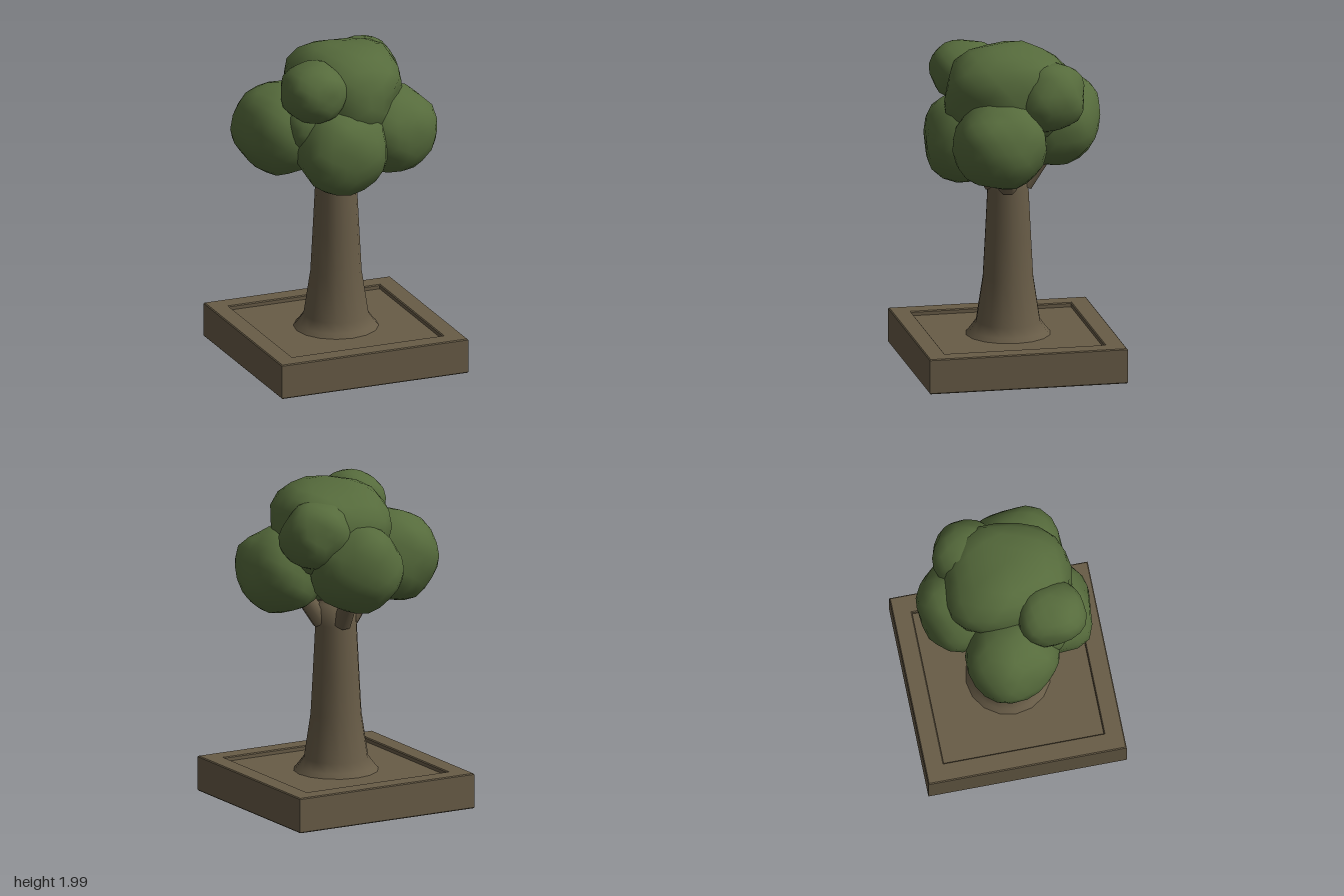
import * as THREE from 'three';
import { mergeVertices } from 'three/addons/utils/BufferGeometryUtils.js';

const CX = 0.014; // planter and trunk axis

// Lumpy clump: an icosphere squared off by a power p, roughened by waves,
// with knobs [x, y, z, height] that pull out (or press in) one side
function clumpGeometry([rx, ry, rz], seed, p, knobs) {
  let geo = new THREE.IcosahedronGeometry(1, 3);
  geo.deleteAttribute('uv');
  geo.deleteAttribute('normal');
  geo = mergeVertices(geo, 1e-4);
  const pos = geo.attributes.position;
  const v = new THREE.Vector3();
  const dir = new THREE.Vector3();
  for (let i = 0; i < pos.count; i++) {
    v.fromBufferAttribute(pos, i);
    const norm = Math.abs(v.x) ** p + Math.abs(v.y) ** p + Math.abs(v.z) ** p;
    const lump =
      Math.sin(v.x * 4.9 + seed * 1.7) * Math.sin(v.y * 4.5 + seed * 2.3) +
      Math.sin(v.z * 5.1 + seed * 3.1) * Math.sin(v.x * 3.9 - v.y * 3.5 + seed);
    let k = norm ** (-1 / p) * (1 + 0.035 * lump);
    for (const [x, y, z, h] of knobs) {
      k += h * Math.max(0, dir.set(x, y, z).normalize().dot(v)) ** 9;
    }
    pos.setXYZ(i, v.x * rx * k, v.y * ry * k, v.z * rz * k);
  }
  geo.computeVertexNormals();
  return geo;
}

function squarePath(path, half) {
  path.moveTo(-half, -half);
  path.lineTo(half, -half);
  path.lineTo(half, half);
  path.lineTo(-half, half);
  path.closePath();
  return path;
}

export function createModel() {
  const model = new THREE.Group();
  model.name = 'plantedTree';
  const bark = new THREE.MeshStandardMaterial({ color: 0x685c47 });
  bark.name = 'brown';
  const leaf = new THREE.MeshStandardMaterial({ color: 0x566b3c });
  leaf.name = 'leaf green';

  const add = (name, geo, mat, x, y, z) => {
    const mesh = new THREE.Mesh(geo, mat);
    mesh.name = name;
    mesh.position.set(x, y, z);
    model.add(mesh);
    return mesh;
  };

  // Planter frame with a narrow bevel
  const bevel = 0.006;
  const frame = squarePath(new THREE.Shape(), 0.609 - bevel);
  frame.holes.push(squarePath(new THREE.Path(), 0.492 + bevel));
  const frameGeo = new THREE.ExtrudeGeometry(frame, {
    depth: 0.217 - 2 * bevel, bevelThickness: bevel, bevelSize: bevel, bevelSegments: 1,
  });
  frameGeo.rotateX(-Math.PI / 2);
  add('planterFrame', frameGeo, bark, CX, bevel, 0);

  // Soil panel set below the rim
  add('soilPanel', new THREE.BoxGeometry(1, 0.182, 1), bark, CX, 0.099, 0);

  // Flared trunk
  const profile = [
    [0.262, 0.185], [0.235, 0.217], [0.196, 0.27], [0.155, 0.54],
    [0.141, 0.8], [0.126, 1.1], [0.118, 1.23], [0, 1.24],
  ].map(([r, y]) => new THREE.Vector2(r, y));
  add('trunk', new THREE.LatheGeometry(profile, 16), bark, CX, 0, 0);

  // Stub branches reaching up into the leaf clumps
  const branchEnds = [[0.27, 1.36, 0.06], [-0.23, 1.36, -0.05], [-0.02, 1.36, 0.24], [0.04, 1.36, -0.26]];
  const up = new THREE.Vector3(0, 1, 0);
  for (const [x, y, z] of branchEnds) {
    const end = new THREE.Vector3(x, y, z);
    const start = new THREE.Vector3(CX + (x - CX) * 0.35, 1.12, z * 0.35);
    const dir = end.clone().sub(start);
    const mid = start.clone().add(end).multiplyScalar(0.5);
    const branch = add('branch', new THREE.CylinderGeometry(0.046, 0.06, dir.length(), 7), bark, mid.x, mid.y, mid.z);
    branch.quaternion.setFromUnitVectors(up, dir.normalize());
  }

  // Leaf clumps: name, centre, radii, seed, squareness, knobs
  const clumps = [
    ['crownClump', [0.08, 1.69, 0.0], [0.325, 0.275, 0.385], 1, 2.5,
      [[-0.58, 1.03, -0.07, 0.14], [0.64, 0.93, -0.1, 0.08], [-0.1, 0.93, 0.8, 0.12],
        [-0.86, 0.2, -0.77, 0.1], [0.7, -0.1, 0.7, -0.14]]],
    ['frontClump', [-0.05, 1.415, 0.235], [0.275, 0.27, 0.26], 2, 2.2,
      [[-0.9, -0.2, 0.82, 0.13], [0.9, 0, 0.75, 0.05], [0.05, -1, 0.6, 0.12]]],
    ['leftClump', [0.33, 1.455, 0.12], [0.255, 0.262, 0.275], 3, 2.4,
      [[0.9, -0.4, 0, 0.06], [0, 0.7, 0.7, -0.14], [0.7, 0.7, 0, -0.05]]],
    ['rightClump', [-0.34, 1.485, -0.05], [0.265, 0.285, 0.28], 4, 2.1,
      [[-1, -0.05, -0.3, 0.1], [-0.7, -0.7, 0.1, -0.08], [-1, 0, 0.5, -0.06], [-0.4, 0, 1, 0.06]]],
    ['backClump', [0.04, 1.5, -0.28], [0.275, 0.265, 0.265], 5, 2.2,
      [[0, 0.75, -0.66, 0.18], [0, -0.75, -0.66, -0.04]]],
    ['upperFrontClump', [-0.225, 1.785, 0.215], [0.185, 0.175, 0.205], 6, 2.5, []],
    ['upperBackClump', [0.265, 1.715, -0.21], [0.21, 0.21, 0.205], 7, 2.1,
      [[1, -0.3, 0.9, 0.14], [0, 0.7, -0.7, 0.06], [0, -0.7, -0.7, -0.06]]],
    ['innerClump', [-0.25, 1.55, 0.16], [0.13, 0.14, 0.14], 8, 2.4, []],
  ];
  for (const [name, centre, radii, seed, p, knobs] of clumps) {
    add(name, clumpGeometry(radii, seed, p, knobs), leaf, ...centre);
  }

  return model;
}
